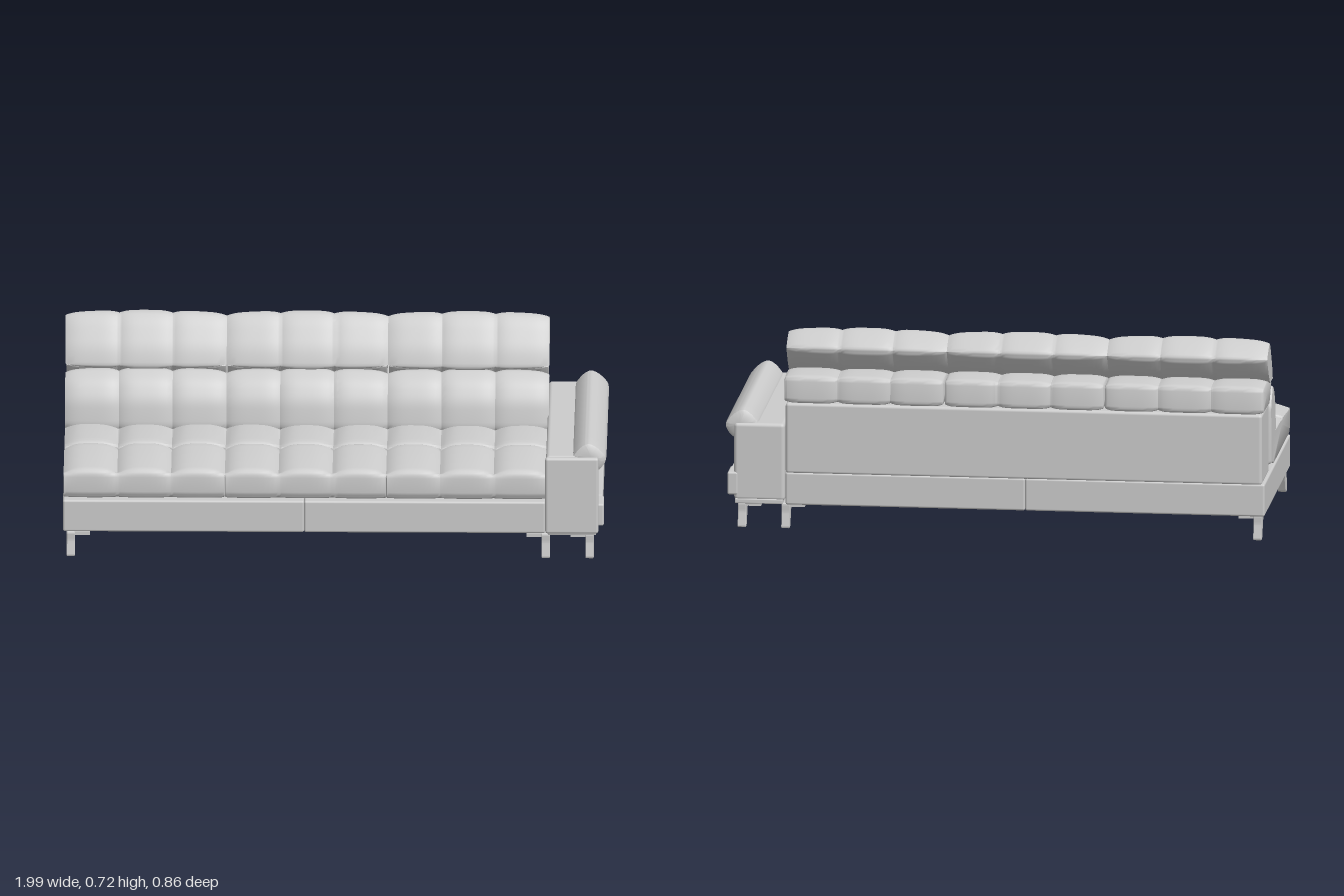
import * as THREE from 'three';
import { toCreasedNormals } from 'three/addons/utils/BufferGeometryUtils.js';
import { RoundedBoxGeometry } from 'three/addons/geometries/RoundedBoxGeometry.js';

const upholstery = new THREE.MeshStandardMaterial({ color: 0xcccccc });
upholstery.name = 'light grey upholstery';

// Closed outline with its corners rounded off, always counter-clockwise.
function roundedLoop(points, radius, steps = 5) {
  let p = points.map(([a, b]) => new THREE.Vector2(a, b));
  if (THREE.ShapeUtils.area(p) < 0) p = p.reverse();
  const out = [];
  p.forEach((corner, i) => {
    const prev = p[(i + p.length - 1) % p.length], next = p[(i + 1) % p.length];
    const toward = (q) => {
      const len = corner.distanceTo(q);
      return corner.clone().lerp(q, Math.min(radius, len * 0.45) / len);
    };
    const bend = new THREE.QuadraticBezierCurve(toward(prev), corner, toward(next));
    out.push(...bend.getPoints(steps));
  });
  return out;
}

// Padded roll: an outline in (z, y) swept along x, pinched at the column seams and rounded at its ends.
function padded(points, x0, x1, { radius = 0.03, columns = 1, seam = 0, power = 4, crown = 0, end = 0.02, weight = () => 1 } = {}) {
  const loop = roundedLoop(points, radius), n = loop.length;
  const normals = loop.map((_, j) => {
    const t = loop[(j + 1) % n].clone().sub(loop[(j + n - 1) % n]).normalize();
    return new THREE.Vector2(t.y, -t.x);
  });
  const centre = loop.reduce((s, q) => s.add(q), new THREE.Vector2()).divideScalar(n);
  const pos = [], index = [], steps = 14, rows = columns * steps + 1;
  for (let i = 0; i < rows; i++) {
    const column = Math.min(Math.floor(i / steps), columns - 1);
    const u = (1 - Math.cos(Math.PI * (i - column * steps) / steps)) / 2;
    const f = (column + u) / columns, x = x0 + (x1 - x0) * f;
    const s = Math.min(x - x0, x1 - x);
    const k = Math.max(0, 1 - s / end);
    const round = end * (1 - Math.sqrt(Math.max(0, 1 - k * k)));
    const pinch = seam * Math.abs(2 * u - 1) ** power + crown * (2 * f - 1) ** 2;
    loop.forEach((q, j) => {
      const d = Math.max(pinch * weight(normals[j]), round * 0.8);
      pos.push(x, q.y - normals[j].y * d, q.x - normals[j].x * d);
    });
  }
  for (let i = 0; i < rows - 1; i++) for (let j = 0; j < n; j++) {
    const a = i * n + j, b = i * n + (j + 1) % n, c = b + n, d = a + n;
    index.push(a, d, c, a, c, b);
  }
  // end caps
  const first = pos.length / 3, last = (rows - 1) * n;
  pos.push(x0, centre.y, centre.x, x1, centre.y, centre.x);
  for (let j = 0; j < n; j++) {
    const k = (j + 1) % n;
    index.push(first, j, k, first + 1, last + k, last + j);
  }
  const geo = new THREE.BufferGeometry();
  geo.setAttribute('position', new THREE.Float32BufferAttribute(pos, 3));
  geo.setIndex(index);
  return toCreasedNormals(geo, 0.7);
}

export function createModel() {
  const sofa = new THREE.Group();
  sofa.name = 'sofa';

  const add = (name, geometry, parent = sofa) => {
    const mesh = new THREE.Mesh(geometry, upholstery);
    mesh.name = name;
    parent.add(mesh);
    return mesh;
  };
  const box = (name, [x0, x1], [y0, y1], [z0, z1], r = 0.008) => {
    const mesh = add(name, new RoundedBoxGeometry(x1 - x0, y1 - y0, z1 - z0, 3, r));
    mesh.position.set((x0 + x1) / 2, (y0 + y1) / 2, (z0 + z1) / 2);
    return mesh;
  };

  // Base in two halves, and the upright frame behind the cushions
  box('baseRight', [-0.995, -0.11], [0.093, 0.215], [-0.43, 0.405]);
  box('baseLeft', [-0.11, 0.775], [0.093, 0.215], [-0.43, 0.405]);
  box('backFrame', [-0.985, 0.775], [0.21, 0.476], [-0.43, -0.2], 0.012);

  // Three sets of cushions, each three columns wide
  const seat = [[0.407, 0.22], [0.407, 0.335], [0.16, 0.355], [0.15, 0.342], [0.14, 0.355],
    [-0.12, 0.36], [-0.13, 0.22]];
  const lowerBack = [[-0.025, 0.34], [-0.045, 0.445], [-0.085, 0.51], [-0.15, 0.548],
    [-0.22, 0.465], [-0.21, 0.22], [-0.11, 0.22]];
  const headrest = [[-0.122, 0.535], [-0.15, 0.615], [-0.205, 0.698], [-0.243, 0.73], [-0.29, 0.712],
    [-0.358, 0.665], [-0.295, 0.58], [-0.24, 0.53]];
  const bolster = [[-0.15, 0.545], [-0.3, 0.583], [-0.42, 0.577], [-0.428, 0.472], [-0.22, 0.463]];
  const width = 0.592;
  for (let i = 0; i < 3; i++) {
    const x0 = -0.993 + i * width, x1 = x0 + width;
    const set = new THREE.Group();
    set.name = 'cushionSet' + (i + 1);
    sofa.add(set);
    add('seatCushion', padded(seat, x0, x1, {
      columns: 3, seam: 0.024, power: 3, end: 0.008, weight: (q) => 0.12 + 0.88 * Math.max(0, q.y),
    }), set);
    add('lowerBackCushion', padded(lowerBack, x0, x1, { columns: 3, seam: 0.012, crown: 0.008, end: 0.018 }), set);
    add('headrest', padded(headrest, x0, x1, { columns: 3, seam: 0.009, crown: 0.011, end: 0.018 }), set);
    add('backBolster', padded(bolster, x0 + 0.003, x1 - 0.003, { columns: 3, seam: 0.01, end: 0.016, radius: 0.022 }), set);
  }

  // Arm with front panel, plinth and side band
  box('arm', [0.778, 0.966], [0.105, 0.396], [-0.428, 0.414], 0.014);
  box('armFrontPanel', [0.775, 0.97], [0.1, 0.394], [0.405, 0.43], 0.01);
  box('armPlinth', [0.785, 0.962], [0.094, 0.112], [-0.43, 0.425], 0.004);
  box('armRail', [0.8, 0.95], [0.082, 0.096], [-0.32, 0.32], 0.003);
  box('bandFront', [0.95, 0.99], [0.125, 0.211], [0.311, 0.412]);
  box('bandMiddle', [0.95, 0.985], [0.127, 0.211], [-0.324, 0.31], 0.006);
  box('bandBack', [0.95, 0.99], [0.125, 0.211], [-0.43, -0.325]);

  // Padded roll along the top of the arm
  const roll = [[0.868, 0.385], [0.9, 0.428], [0.932, 0.448], [0.968, 0.43], [1.002, 0.392],
    [0.995, 0.365], [0.968, 0.333], [0.93, 0.35]];
  add('armRoll', padded(roll, -0.414, 0.42, { radius: 0.022, end: 0.02 })).rotation.y = Math.PI / 2;

  // Splayed legs, each with a mounting plate; the back row is mirrored
  const outline = roundedLoop([[0.407, 0.093], [0.405, 0.06], [0.416, 0.002], [0.384, 0.002],
    [0.352, 0.065], [0.335, 0.08], [0.335, 0.093]], 0.008, 3);
  const legSide = new THREE.ExtrudeGeometry(new THREE.Shape(outline), {
    depth: 0.026, bevelEnabled: true, bevelSize: 0.002, bevelThickness: 0.002, bevelSegments: 1,
  });
  legSide.translate(0, 0, -0.013).rotateY(-Math.PI / 2);
  for (const [x, inward] of [[-0.966, 1], [0.777, -1], [0.938, -1]]) {
    for (const back of [false, true]) {
      const leg = new THREE.Group();
      leg.name = back ? 'backLeg' : 'frontLeg';
      leg.position.x = x;
      const shaft = add('legShaft', legSide, leg);
      const plate = add('legPlate', new THREE.BoxGeometry(0.08, 0.014, 0.09), leg);
      plate.position.set(inward * 0.03, 0.087, 0.36);
      if (back) {
        shaft.rotation.y = Math.PI;
        plate.position.z = -0.36;
      }
      sofa.add(leg);
    }
  }
  return sofa;
}
